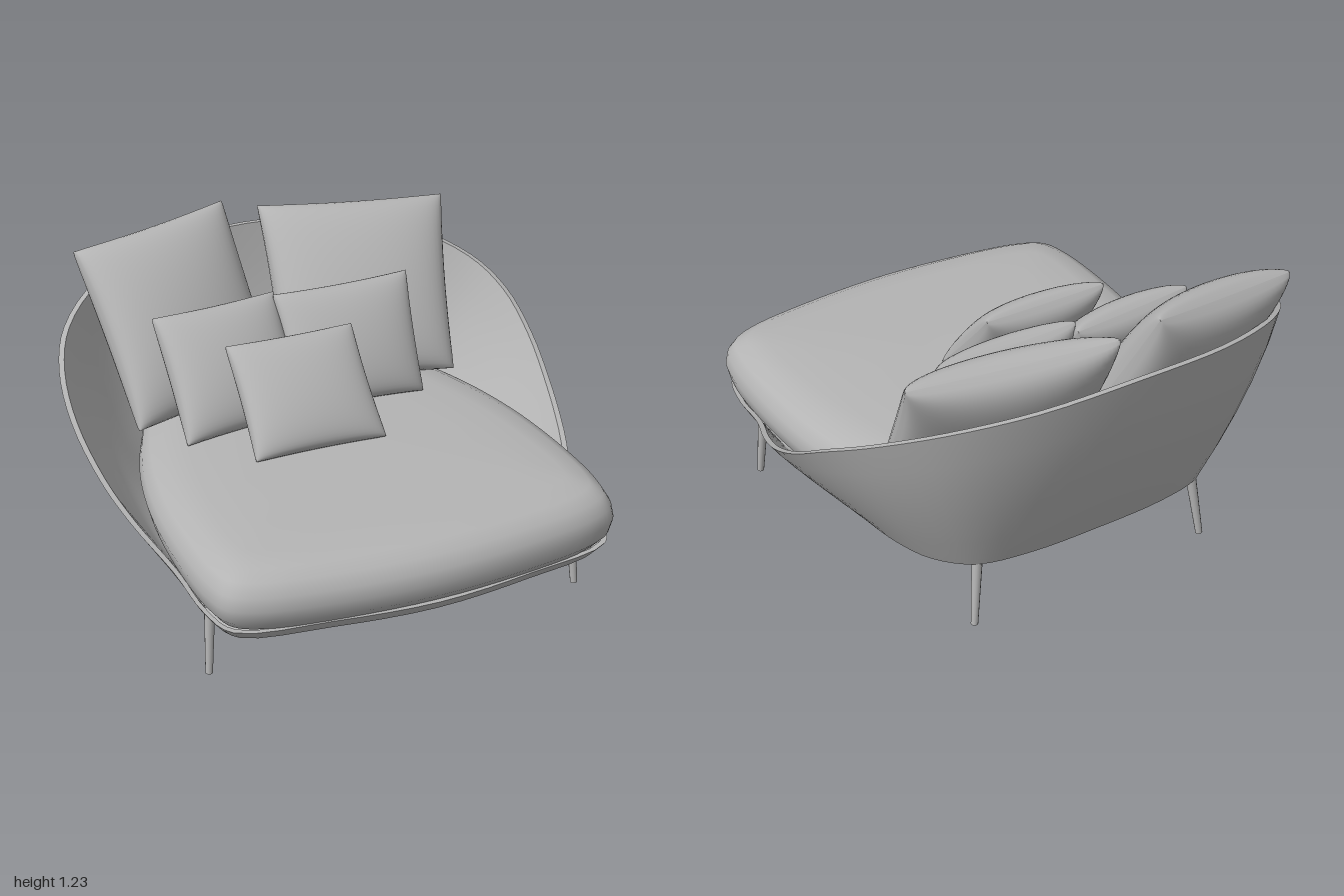
import * as THREE from 'three';
import { mergeGeometries, toCreasedNormals } from 'three/addons/utils/BufferGeometryUtils.js';

const V = (x, y, z) => new THREE.Vector3(x, y, z);
const SIDES = 96;

// Closed smooth outline from its right half [x, y, z], back to front, mirrored in x
function outline(half) {
  const pts = half.map(p => V(...p));
  for (let i = half.length - 2; i > 0; i--) pts.push(V(-half[i][0], half[i][1], half[i][2]));
  const curve = new THREE.CatmullRomCurve3(pts, true, 'centripetal');
  return Array.from({ length: SIDES }, (_, i) => curve.getPoint(i / SIDES));
}

// Move a ring inward by d, optionally to a new height
function inset(ring, d, y) {
  return ring.map(p => {
    const r = Math.hypot(p.x, p.z), k = Math.max(0, r - d) / r;
    return V(p.x * k, y ?? p.y, p.z * k);
  });
}

// Skin a list of closed rings
function loft(rings, crease) {
  const pos = [], index = [], n = SIDES;
  rings.forEach(r => r.forEach(p => pos.push(p.x, p.y, p.z)));
  for (let i = 0; i < rings.length - 1; i++) {
    for (let j = 0; j < n; j++) {
      const a = i * n + j, b = i * n + (j + 1) % n;
      index.push(a, a + n, b, b, a + n, b + n);
    }
  }
  const g = new THREE.BufferGeometry();
  g.setAttribute('position', new THREE.Float32BufferAttribute(pos, 3));
  g.setIndex(index);
  return toCreasedNormals(g, crease);
}

// Stuffed pillow spanning four corners, swollen by front and back, resting flat on the seat
function pillowGeometry(corners, front, back) {
  const [tl, tr, br, bl] = corners.map(c => V(...c));
  const normal = tr.clone().sub(tl).cross(tl.clone().sub(bl)).normalize();
  const sheet = h => {
    const g = new THREE.PlaneGeometry(2, 2, 28, 28), p = g.attributes.position;
    for (let i = 0; i < p.count; i++) {
      const u = Math.sin(p.getX(i) * Math.PI / 2), v = Math.sin(p.getY(i) * Math.PI / 2);
      // edges pull in between the pointed corners
      const s = (1 + u * (1 - 0.04 * (1 - v * v))) / 2;
      const t = (1 + v * (1 - 0.03 * (1 - u * u))) / 2;
      const low = bl.clone().lerp(br, s), high = tl.clone().lerp(tr, s);
      const swell = Math.pow(Math.max(0, (1 - u * u) * (1 - v * v)), 0.36);
      const q = low.lerp(high, t).addScaledVector(normal, h * swell);
      p.setXYZ(i, q.x, Math.max(q.y, 0.555), q.z);
    }
    if (h < 0) {
      const a = g.index.array;
      for (let i = 0; i < a.length; i += 3) [a[i], a[i + 1]] = [a[i + 1], a[i]];
    }
    g.computeVertexNormals();
    return g;
  };
  return mergeGeometries([sheet(front), sheet(-back)]);
}

// Tapered rod between two points
function rod(a, b, ra, rb) {
  const dir = b.clone().sub(a);
  const g = new THREE.CylinderGeometry(rb, ra, dir.length(), 12);
  g.applyQuaternion(new THREE.Quaternion().setFromUnitVectors(V(0, 1, 0), dir.clone().normalize()));
  const m = a.clone().add(b).multiplyScalar(0.5);
  return g.translate(m.x, m.y, m.z);
}

export function createModel() {
  const model = new THREE.Group();
  const grey = new THREE.MeshStandardMaterial({ color: 0xb4b4b4 });
  grey.name = 'soft grey';
  const add = (name, geometry) => {
    const mesh = new THREE.Mesh(geometry, grey);
    mesh.name = name;
    model.add(mesh);
  };

  // Sweeping shell: high at the back, falling to a low lip at the front
  const rim = outline([
    [0, 1.07, -0.97], [0.4, 1.045, -0.93], [0.7, 0.995, -0.81], [0.9, 0.905, -0.62],
    [0.98, 0.81, -0.44], [1.0, 0.685, -0.24], [0.97, 0.55, 0], [0.92, 0.46, 0.2],
    [0.84, 0.365, 0.44], [0.81, 0.325, 0.68], [0.755, 0.32, 0.83], [0.4, 0.32, 0.905], [0, 0.32, 0.945],
  ]);
  const base = outline([
    [0, 0.27, -0.74], [0.3, 0.27, -0.73], [0.5, 0.265, -0.68], [0.62, 0.26, -0.56],
    [0.68, 0.255, -0.4], [0.71, 0.25, -0.22], [0.74, 0.25, 0], [0.76, 0.25, 0.2],
    [0.775, 0.255, 0.45], [0.77, 0.265, 0.67], [0.72, 0.27, 0.8], [0.4, 0.275, 0.875], [0, 0.275, 0.915],
  ]);
  const wall = t => base.map((p, i) => {
    const q = p.clone().lerp(rim[i], t);
    const k = 1 + 0.16 * t * (1 - t) * (rim[i].y - p.y);
    return V(q.x * k, q.y, q.z * k);
  });
  const steps = [0, 0.2, 0.4, 0.6, 0.8, 1];
  const outer = steps.map(wall);
  const inner = steps.map(t => inset(wall(t), 0.022)).reverse();
  inner[inner.length - 1].forEach(p => { p.y += 0.025; });
  add('shell', loft([
    inset(base, 2, 0.25), inset(base, 0.25, 0.25), ...outer, ...inner, inset(base, 2, 0.285),
  ], 0.6));

  // Thick rounded seat cushion
  const seat = outline([
    [0, 0, -0.78], [0.3, 0, -0.77], [0.54, 0, -0.68], [0.66, 0, -0.45], [0.75, 0, -0.2],
    [0.81, 0, 0.1], [0.83, 0, 0.45], [0.815, 0, 0.72], [0.78, 0, 0.83], [0.68, 0, 0.89],
    [0.4, 0, 0.945], [0, 0, 0.975],
  ]);
  const profile = [
    [2, 0.3], [0.1, 0.3], [0.05, 0.32], [0.015, 0.36], [0, 0.42], [0.012, 0.47],
    [0.045, 0.515], [0.1, 0.542], [0.2, 0.555], [0.4, 0.562], [2, 0.565],
  ];
  add('seatCushion', loft(profile.map(([d, y]) => inset(seat, d, y)), 1));

  // Pillows: front and back swell, then corners top left, top right, bottom right, bottom left
  const pillows = [
    ['largePillowLeft', 0.14, 0.17, [[0.02, 1.18, -0.86], [0.8, 1.16, -0.72], [0.67, 0.55, -0.3], [-0.03, 0.55, -0.46]]],
    ['largePillowRight', 0.14, 0.17, [[-0.8, 1.15, -0.77], [-0.13, 1.22, -0.88], [-0.04, 0.55, -0.5], [-0.71, 0.55, -0.3]]],
    ['mediumPillowLeft', 0.1, 0.13, [[-0.09, 0.98, -0.42], [0.5, 0.98, -0.43], [0.46, 0.56, -0.16], [-0.09, 0.56, -0.19]]],
    ['mediumPillowRight', 0.1, 0.13, [[-0.6, 0.97, -0.42], [-0.07, 0.97, -0.47], [-0.05, 0.56, -0.17], [-0.58, 0.56, -0.1]]],
    ['smallPillow', 0.085, 0.13, [[-0.39, 0.92, -0.17], [0.14, 0.92, -0.17], [0.15, 0.57, 0.15], [-0.39, 0.57, 0.14]]],
  ];
  for (const [name, front, back, corners] of pillows) add(name, pillowGeometry(corners, front, back));

  // Splayed legs joined by a crossed frame under the shell
  const hub = V(0, 0.245, -0.03);
  for (const s of [1, -1]) {
    const side = s > 0 ? 'Left' : 'Right';
    const legs = [
      ['front', V(s * 0.77, 0, 0.595), V(s * 0.75, 0.28, 0.57)],
      ['back', V(s * 0.52, 0, -0.695), V(s * 0.485, 0.28, -0.66)],
    ];
    for (const [end, foot, top] of legs) {
      add(`${end}Leg${side}`, rod(foot, top, 0.014, 0.021));
      add(`${end}Bar${side}`, rod(hub, V(top.x, 0.255, top.z), 0.014, 0.016));
    }
  }
  return model;
}
